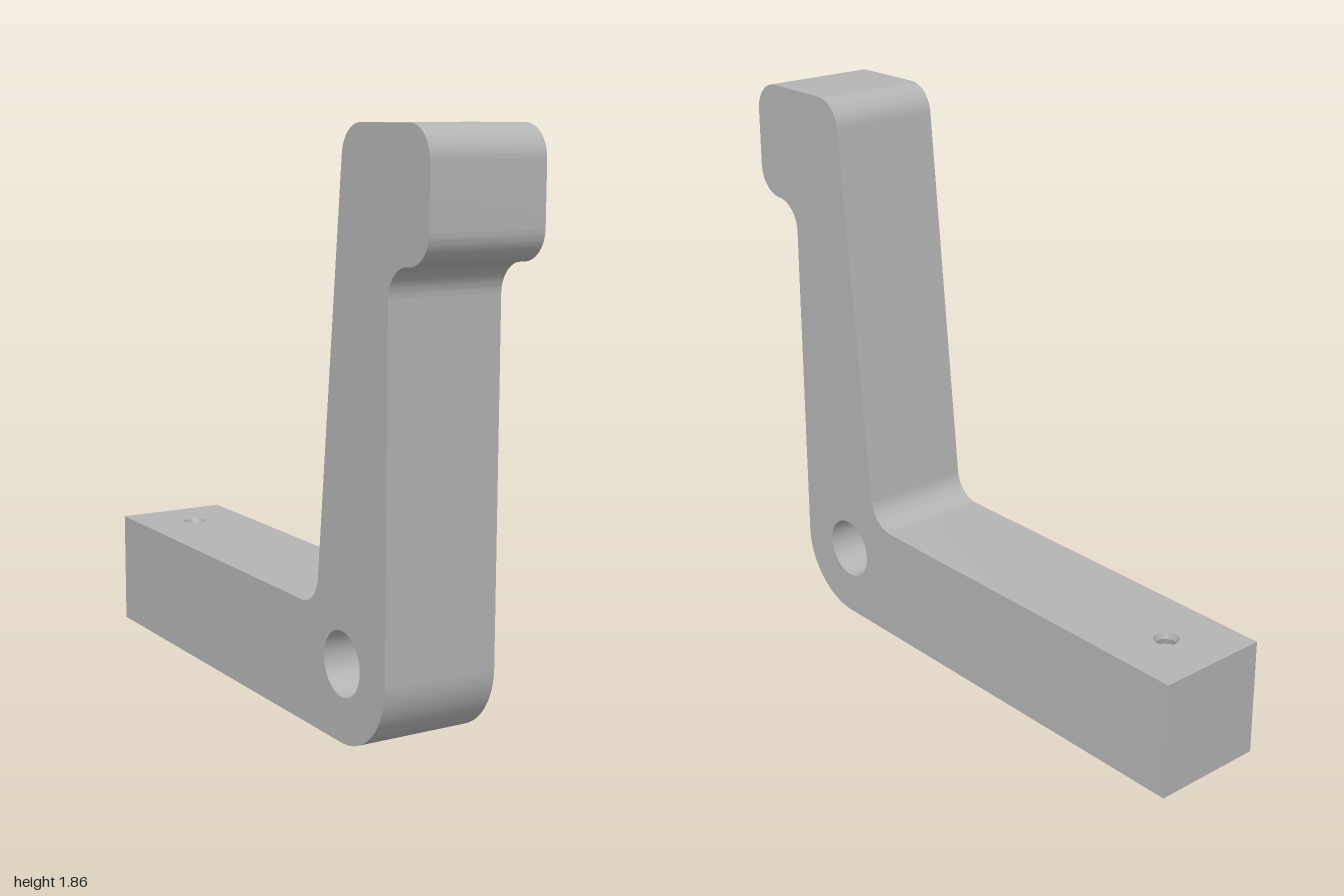
import * as THREE from 'three';
import { mergeGeometries, toCreasedNormals } from 'three/addons/utils/BufferGeometryUtils.js';

const H = 0.195;        // half width
const BAR = 0.39;       // bar height
const BORE_Z = -0.805;  // position of the vertical hole
const PI = Math.PI;

// Side profile: horizontal axis is -z, vertical axis is y
function sideProfile() {
  const s = new THREE.Shape();
  s.moveTo(1, 0);
  s.lineTo(1, BAR);
  s.lineTo(-0.32, BAR);
  s.absarc(-0.32, BAR + 0.1, 0.1, -PI / 2, -PI + 0.1, true);  // inner fillet
  s.absarc(-0.65, 1.755, 0.1, 0.1, PI / 2, false);            // head, back
  s.absarc(-0.9, 1.755, 0.1, PI / 2, PI, false);              // head, front
  s.absarc(-0.9, 1.565, 0.1, PI, PI * 1.5, false);            // nose
  s.absarc(-0.9, 1.365, 0.1, PI / 2, 0, true);                // throat
  s.absarc(-0.56, 0.24, 0.24, PI, PI * 1.5, false);           // heel
  s.lineTo(1, 0);
  return s;
}

const circle = (x, y, r) => new THREE.Path().absarc(x, y, r, 0, 2 * PI, true);

// Walls across the width; the long flat bar faces are left for pierced plates
function walls(points) {
  const pos = [];
  for (let i = 0; i < points.length - 1; i++) {
    const p = points[i], q = points[i + 1];
    if (Math.abs(q.x - p.x) > 1) continue;
    pos.push(p.x, p.y, -H, q.x, q.y, -H, q.x, q.y, H);
    pos.push(p.x, p.y, -H, q.x, q.y, H, p.x, p.y, H);
  }
  const g = new THREE.BufferGeometry();
  g.setAttribute('position', new THREE.Float32BufferAttribute(pos, 3));
  return g.rotateY(PI / 2);
}

// Rectangle with a round hole, in x and v
function piercedPlate(v0, v1, holeV, r) {
  const s = new THREE.Shape();
  s.moveTo(-H, v0).lineTo(H, v0).lineTo(H, v1).lineTo(-H, v1).closePath();
  s.holes.push(circle(0, holeV, r));
  return new THREE.ShapeGeometry(s, 24);
}

function merge(parts) {
  const plain = parts.map((g) => {
    const n = g.index ? g.toNonIndexed() : g;
    n.deleteAttribute('uv');
    n.deleteAttribute('normal');
    return n;
  });
  const g = mergeGeometries(plain);
  g.computeVertexNormals();
  return toCreasedNormals(g, 0.5);
}

export function createModel() {
  const group = new THREE.Group();
  const grey = new THREE.MeshStandardMaterial({ color: 0xb4b4b4 });
  grey.name = 'grey metal';

  // L-shaped lever with a pivot hole
  const profile = sideProfile();
  const pivot = circle(-0.56, 0.247, 0.103);
  const outline = profile.getPoints(12);
  profile.holes.push(pivot);
  const lever = merge([
    walls(outline),
    walls(pivot.getPoints(24)),
    new THREE.ShapeGeometry(profile, 24).translate(0, 0, H).rotateY(PI / 2),
    new THREE.ShapeGeometry(profile, 24).rotateY(PI).scale(1, 1, 1)
      .rotateY(-PI).scale(-1, 1, 1).rotateY(-PI / 2).translate(-H, 0, 0),
    piercedPlate(-0.32, 1, -BORE_Z, 0.04).rotateX(-PI / 2).translate(0, BAR, 0),
    piercedPlate(-1, 0.56, BORE_Z, 0.11).rotateX(PI / 2),
  ]);
  // The mirrored side face needs its corners reversed to face outwards
  const p = lever.attributes.position, n = lever.attributes.normal;
  const a = new THREE.Vector3(), b = new THREE.Vector3();
  for (let i = 0; i < p.count; i += 3) {
    const flat = [0, 1, 2].every((k) => Math.abs(p.getX(i + k) + H) < 1e-5);
    if (!flat || n.getX(i) < 0) continue;
    a.fromBufferAttribute(p, i);
    b.fromBufferAttribute(p, i + 1);
    p.setXYZ(i, b.x, b.y, b.z);
    p.setXYZ(i + 1, a.x, a.y, a.z);
    for (let k = 0; k < 3; k++) n.setXYZ(i + k, -1, 0, 0);
  }
  const body = new THREE.Mesh(lever, grey);
  body.name = 'lever';
  group.add(body);

  // Vertical hole: ridged narrow top, wide counterbore below
  const pts = [new THREE.Vector2(0.04, BAR)];
  for (let y = BAR - 0.02; y > 0.26; y -= 0.04) {
    pts.push(new THREE.Vector2(0.034, y), new THREE.Vector2(0.04, y - 0.02));
  }
  pts.push(new THREE.Vector2(0.04, 0.22), new THREE.Vector2(0.11, 0.22), new THREE.Vector2(0.11, 0));
  const bore = new THREE.Mesh(merge([new THREE.LatheGeometry(pts, 48)]), grey);
  bore.name = 'counterboredHole';
  bore.position.z = BORE_Z;
  group.add(bore);

  return group;
}
